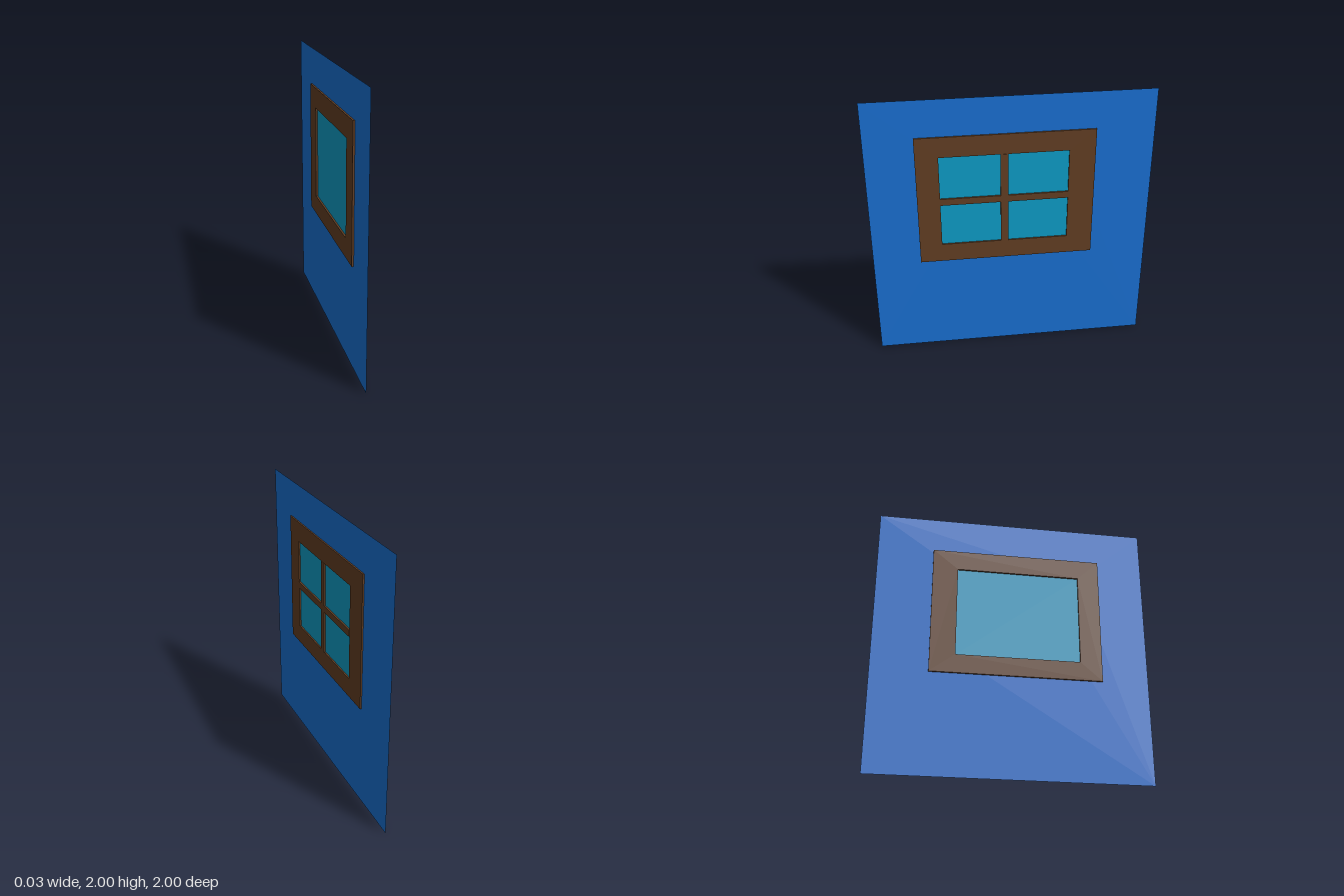
import * as THREE from 'three';

const material = (color, side = THREE.FrontSide) => new THREE.MeshStandardMaterial({ color, side });

// Rectangle traced in the wall plane: u runs along -z, v runs up
function rectangle(u0, u1, v0, v1, Type = THREE.Shape) {
  const r = new Type();
  r.moveTo(u0, v0);
  r.lineTo(u1, v0);
  r.lineTo(u1, v1);
  r.lineTo(u0, v1);
  r.closePath();
  return r;
}

export function createModel() {
  const model = new THREE.Group();
  model.name = 'windowWall';

  const brown = material(0x654024);
  const opening = [-0.5, 0.405, 0.89, 1.58];
  const back = -0.0135, frameFront = 0.011, barFront = 0.0135;

  // Turns a flat shape to face +x and places it at depth x
  function add(name, geometry, mat, x) {
    geometry.rotateY(Math.PI / 2).translate(x, 0, 0);
    const mesh = new THREE.Mesh(geometry, mat);
    mesh.name = name;
    model.add(mesh);
  }
  const slab = (shape, depth) => new THREE.ExtrudeGeometry(shape, { depth, bevelEnabled: false });

  // Thin wall with the window opening cut out
  const wall = rectangle(-1, 1, 0, 2);
  wall.holes.push(rectangle(...opening, THREE.Path));
  add('wall', new THREE.ShapeGeometry(wall), material(0x1a72d6, THREE.DoubleSide), 0);

  // Glass filling the opening
  add('glassPane', new THREE.ShapeGeometry(rectangle(...opening)), material(0x0ea0cb, THREE.DoubleSide), 0);

  // Frame standing proud of both wall faces
  const frame = rectangle(-0.66, 0.59, 0.75, 1.73);
  frame.holes.push(rectangle(...opening, THREE.Path));
  add('windowFrame', slab(frame, frameFront - back), brown, back);

  // Crossed glazing bars on the outer face of the glass
  const [u0, u1, v0, v1] = opening;
  add('verticalBar', slab(rectangle(-0.075, -0.02, v0, v1), barFront - 0.001), brown, 0.001);
  for (const [name, a, b] of [['horizontalBarLeft', u0, -0.075], ['horizontalBarRight', -0.02, u1]]) {
    add(name, slab(rectangle(a, b, 1.21, 1.26), barFront - 0.001), brown, 0.001);
  }

  return model;
}
